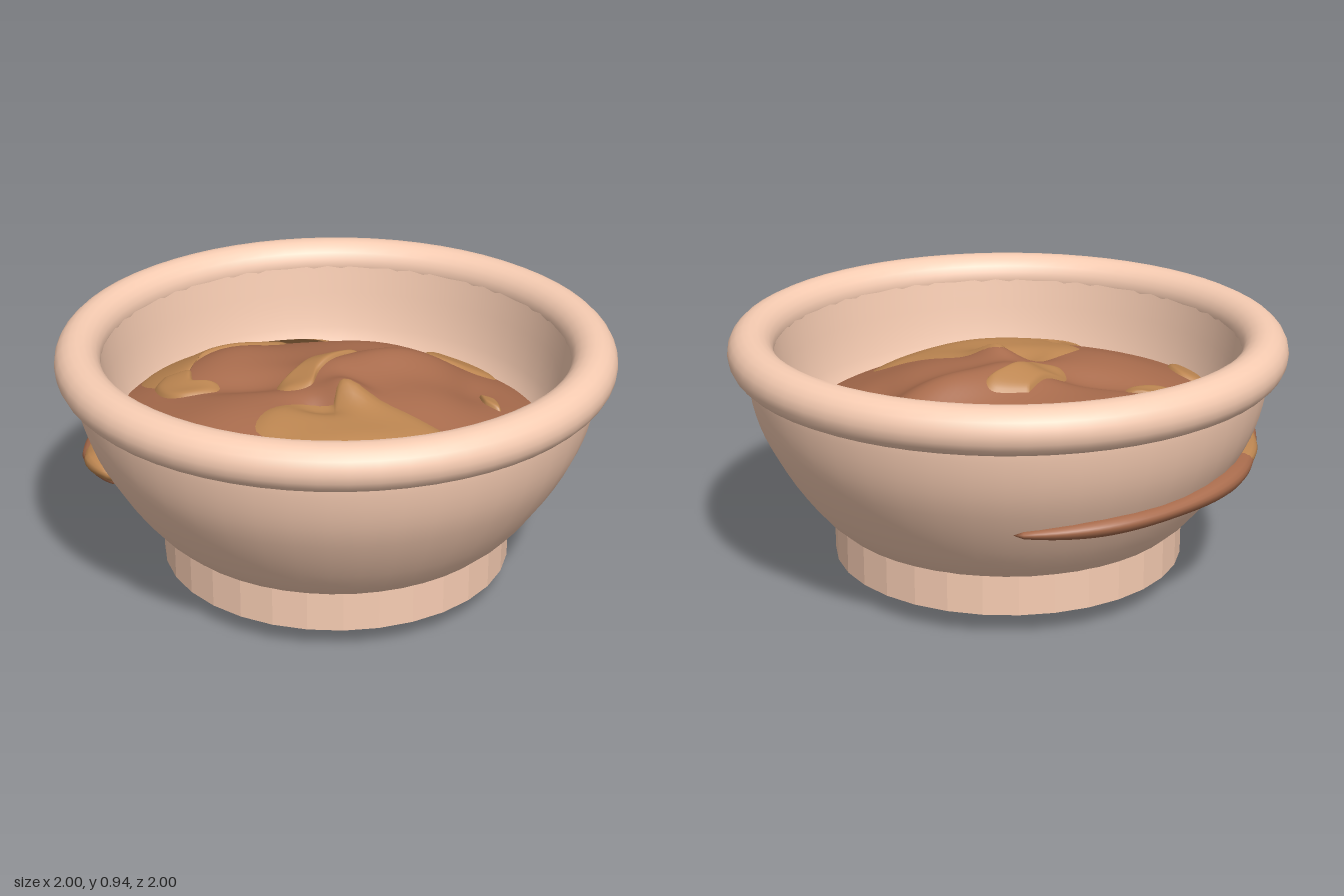
import * as THREE from 'three';
import { mergeVertices } from 'three/addons/utils/BufferGeometryUtils.js';

const clay = new THREE.MeshStandardMaterial({ color: 0xf8cdb3 });
const clayFlat = new THREE.MeshStandardMaterial({ color: 0xf8cdb3, flatShading: true });
const brown = new THREE.MeshStandardMaterial({ color: 0xa96c4d, side: THREE.DoubleSide });
const tan = new THREE.MeshStandardMaterial({ color: 0xbd8651, side: THREE.DoubleSide });

// Smooth surface from a rule fn(u, v) -> [x, y, z]
function surface(nu, nv, fn) {
  const pos = [], idx = [];
  for (let j = 0; j <= nv; j++) {
    for (let i = 0; i <= nu; i++) pos.push(...fn((i % nu) / nu, j / nv));
  }
  for (let j = 0; j < nv; j++) {
    for (let i = 0; i < nu; i++) {
      const a = j * (nu + 1) + i, c = a + nu + 1;
      idx.push(a, a + 1, c, a + 1, c + 1, c);
    }
  }
  const geo = new THREE.BufferGeometry();
  geo.setAttribute('position', new THREE.Float32BufferAttribute(pos, 3));
  geo.setIndex(idx);
  const merged = mergeVertices(geo, 1e-4);
  merged.computeVertexNormals();
  return merged;
}

const spline = (pts) => new THREE.SplineCurve(pts.map((p) => new THREE.Vector2(...p)));

// Lumps of the filling: x, z, height, spread along the lump, spread across, turn
const lumps = [
  [0.2, -0.22, 0.08, 0.28, 0.12, -0.55],
  [-0.02, -0.03, 0.03, 0.12, 0.1, 0],
  [0.06, 0.13, 0.06, 0.1, 0.07, 0.5],
  [-0.02, 0.22, -0.04, 0.1, 0.06, 0],
  [0.35, 0.05, 0.03, 0.2, 0.2, 0],
  [0.47, -0.25, -0.03, 0.08, 0.2, 0],
  [0.1, -0.55, 0.03, 0.25, 0.16, 0],
  [-0.45, -0.25, 0.05, 0.2, 0.16, -0.8],
  [-0.3, 0.03, -0.04, 0.22, 0.08, 0],
  [-0.35, 0.3, 0.02, 0.2, 0.15, 0],
  [0.2, 0.42, 0.02, 0.25, 0.1, -0.3],
];

function height(x, z) {
  let y = 0.57 + 0.18 * (1 - (x * x + z * z) / 0.64) + 0.04 * (z - x);
  for (const [cx, cz, h, along, across, turn] of lumps) {
    const dx = x - cx, dz = z - cz;
    const p = (dx * Math.cos(turn) + dz * Math.sin(turn)) / along;
    const q = (dz * Math.cos(turn) - dx * Math.sin(turn)) / across;
    y += h * Math.exp(-p * p - q * q);
  }
  return y;
}

// Raised sauce patches: centre, then outline in x, z
const patches = [
  { c: [-0.5, -0.42], o: [[-0.1, -0.78], [-0.14, -0.7], [-0.24, -0.69], [-0.31, -0.66], [-0.28, -0.52], [-0.37, -0.39],
    [-0.5, -0.28], [-0.57, -0.16], [-0.57, -0.06], [-0.65, -0.02], [-0.74, -0.1], [-0.77, -0.2], [-0.72, -0.35], [-0.62, -0.5], [-0.42, -0.68], [-0.22, -0.77]] },
  { c: [-0.58, 0.01], o: [[-0.67, -0.12], [-0.57, -0.12], [-0.53, -0.03], [-0.44, -0.01], [-0.43, 0.05], [-0.54, 0.1], [-0.62, 0.07], [-0.68, -0.03]] },
  { c: [0.38, -0.57], o: [[0.27, -0.63], [0.34, -0.7], [0.45, -0.66], [0.54, -0.53], [0.44, -0.46], [0.33, -0.45], [0.26, -0.5]] },
  { c: [-0.09, -0.06], o: [[-0.1, -0.19], [0.02, -0.23], [0.05, -0.18], [0, -0.1], [-0.06, 0], [-0.08, 0.09], [-0.17, 0.11], [-0.21, 0.03], [-0.15, -0.07]] },
  { c: [0.06, 0.38], o: [[0.02, 0.19], [0.05, 0.11], [0.2, 0.16], [0.4, 0.24], [0.55, 0.28], [0.56, 0.4], [0.48, 0.5], [0.35, 0.52], [0.18, 0.53],
    [0, 0.64], [-0.15, 0.7], [-0.2, 0.65], [-0.12, 0.55], [-0.12, 0.48], [-0.22, 0.4], [-0.2, 0.28], [-0.1, 0.19]] },
  { c: [-0.63, 0.43], o: [[-0.69, 0.3], [-0.6, 0.34], [-0.55, 0.45], [-0.57, 0.56], [-0.68, 0.41]] },
  { c: [0.55, -0.15], o: [[0.5, -0.21], [0.56, -0.18], [0.59, -0.09], [0.53, -0.12]] },
];

function patchGeometry({ c, o }) {
  const edge = spline([...o, o[0]]);
  return surface(72, 12, (u, v) => {
    const p = edge.getPoint(u);
    const x = c[0] + (p.x - c[0]) * v, z = c[1] + (p.y - c[1]) * v;
    return [x, height(x, z) + 0.018 * (1 - v ** 8) - 0.001, z];
  });
}

// Drip wrapped round the wall between two angles (degrees)
function dripGeometry(from, to, reach, half, lift) {
  return surface(20, 48, (u, v) => {
    const a = THREE.MathUtils.degToRad(from + (to - from) * v);
    const env = Math.min(1, v / 0.12) ** 0.5 * (1 - v) ** 0.35 * (1 + 0.1 * Math.sin(v * 17));
    const s = u * Math.PI * 2;
    const r = 0.825 + reach * env * Math.cos(s);
    const y = 0.465 + lift * (1 - v) + half * env * Math.sin(s) + 0.02 * env * Math.cos(s);
    return [r * Math.cos(a), y, r * Math.sin(a)];
  });
}

export function createModel() {
  const group = new THREE.Group();
  const add = (name, geo, mat, y = 0) => {
    const mesh = new THREE.Mesh(geo, mat);
    mesh.name = name;
    mesh.position.y = y;
    group.add(mesh);
  };

  // Bowl wall: outside going up, inside going down
  const outside = spline([[0, 0.004], [0.1, 0.011], [0.2, 0.026], [0.4, 0.087], [0.64, 0.235], [0.765, 0.375], [0.865, 0.54], [0.915, 0.67], [0.937, 0.8], [0.93, 0.88]]);
  const inside = spline([[0.84, 0.88], [0.83, 0.8], [0.81, 0.66], [0.775, 0.54], [0.68, 0.4], [0.5, 0.25], [0.28, 0.16], [0, 0.13]]);
  add('bowlOutside', new THREE.LatheGeometry(outside.getPoints(27), 48), clay);
  add('bowlInside', new THREE.LatheGeometry(inside.getPoints(21), 48), clay);

  // Rounded rim
  const rim = new THREE.TorusGeometry(0.918, 0.082, 20, 64);
  rim.rotateX(Math.PI / 2);
  add('rim', rim, clay, 0.866);

  // Faceted foot
  add('foot', new THREE.CylinderGeometry(0.638, 0.638, 0.148, 32), clayFlat, 0.162);

  // Lumpy filling
  add('filling', surface(96, 40, (u, v) => {
    const a = u * Math.PI * 2, r = 0.79 * v;
    const x = r * Math.cos(a) - 0.01 * v, z = r * Math.sin(a) - 0.015 * v;
    return [x, height(x, z), z];
  }), brown);
  patches.forEach((p) => add('saucePatch', patchGeometry(p), tan));

  // Drip on the outside wall
  add('drip', dripGeometry(149, 261, 0.092, 0.055, 0.03), brown);
  add('dripSauce', dripGeometry(148, 225, 0.09, 0.05, 0.05), tan);
  return group;
}
